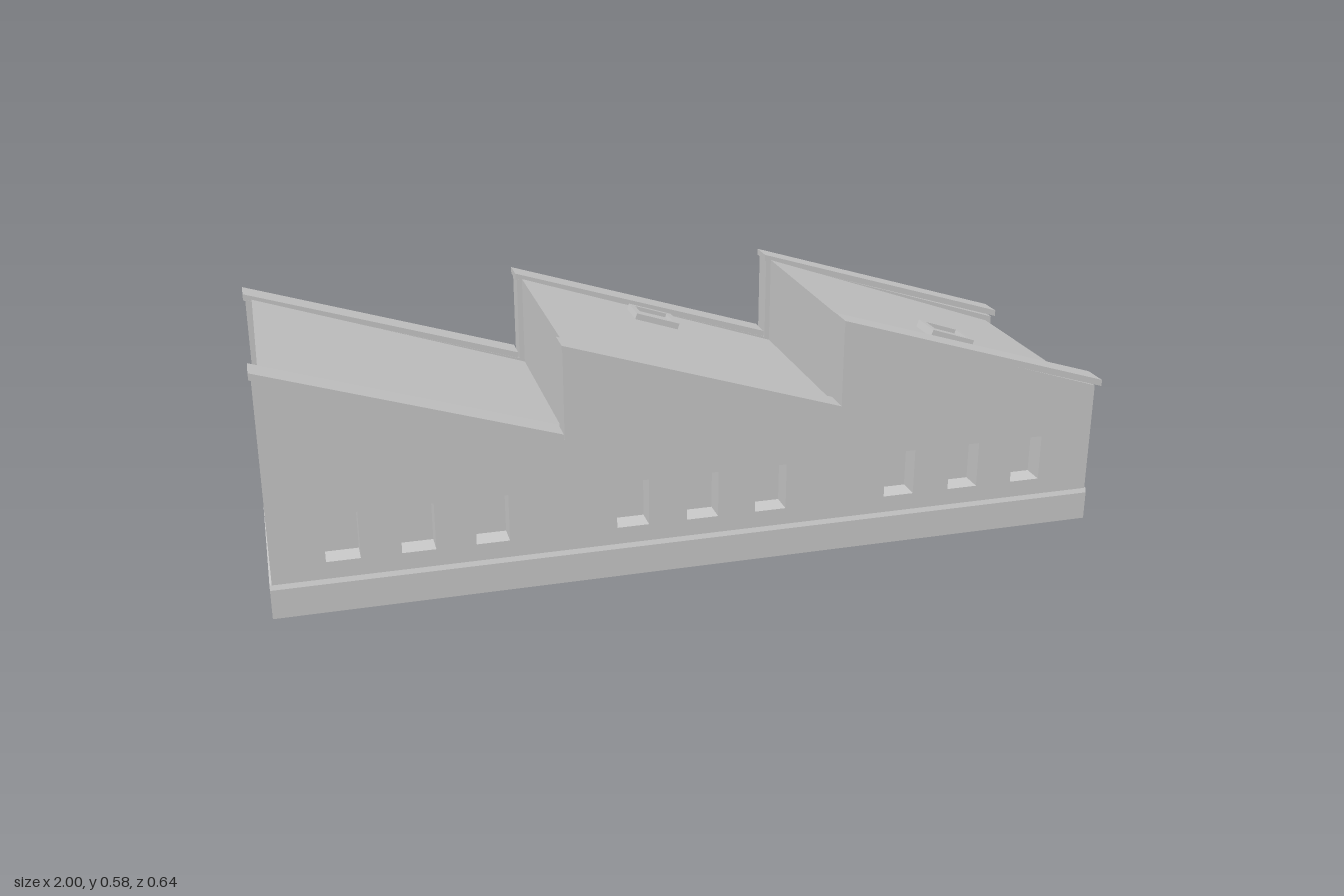
import * as THREE from 'three';

const STARTS = [-1, -0.336, 0.324];
const ENDS = [-0.336, 0.324, 1];
const CENTRES = [-0.67, -0.01, 0.65];
const HIGH = 0.565, LOW = 0.355, BASE = 0.08;
const WALL_IN = 0.257, WALL_OUT = 0.311;
const DOORS = [[-0.785, -0.535], [0.53, 0.77]];

export function createModel() {
  const model = new THREE.Group();
  const material = new THREE.MeshStandardMaterial({ color: 0xcccccc });

  const add = (name, geometry, parent = model) => {
    const mesh = new THREE.Mesh(geometry, material);
    mesh.name = name;
    parent.add(mesh);
    return mesh;
  };
  const polygon = pts => new THREE.Shape(pts.map(p => new THREE.Vector2(...p)));
  const rect = (x0, x1, y0, y1) => [[x0, y0], [x1, y0], [x1, y1], [x0, y1]];
  // Extrude a front outline between two depths
  const slab = (shape, z0, z1) =>
    new THREE.ExtrudeGeometry(shape, { depth: z1 - z0, bevelEnabled: false }).translate(0, 0, z0);
  const box = (x0, x1, y0, y1, z0, z1) =>
    new THREE.BoxGeometry(x1 - x0, y1 - y0, z1 - z0)
      .translate((x0 + x1) / 2, (y0 + y1) / 2, (z0 + z1) / 2);

  // Sawtooth outline, from the left foot over the three teeth to the right foot
  const teeth = (left, right, high, low, shift) => {
    const pts = [[left, BASE]];
    for (let i = 0; i < 3; i++) {
      pts.push([i ? STARTS[i] + shift : left, high], [i < 2 ? ENDS[i] + shift : right, low]);
    }
    pts.push([right, BASE]);
    return pts;
  };

  // Inner block: roof slopes, tooth faces and recessed end walls
  add('roofAndCore', slab(polygon(teeth(-0.98, 0.972, 0.565, 0.345, 0.016)), -WALL_IN, WALL_IN));

  // Front wall with three windows per bay
  const windowHole = x => polygon(rect(x - 0.038, x + 0.038, 0.122, 0.235));
  const front = polygon(teeth(-0.995, 0.987, HIGH, LOW, 0.003));
  for (const c of CENTRES) {
    for (const dx of [-0.167, 0, 0.167]) front.holes.push(windowHole(c + dx));
  }
  add('frontWall', slab(front, WALL_IN, WALL_OUT));

  // Back wall with two doorways and two windows
  const backOutline = teeth(-0.995, 0.987, HIGH, LOW, 0.003);
  for (const [x0, x1] of [...DOORS].reverse()) {
    backOutline.push([x1, BASE], [x1, 0.285], [x0, 0.285], [x0, BASE]);
  }
  const back = polygon(backOutline);
  for (const x of [-0.09, 0.073]) back.holes.push(windowHole(x));
  add('backWall', slab(back, -WALL_OUT, -WALL_IN));

  // Plinth: centre block, chamfered front strip, back strips between the doorways
  const plinth = new THREE.Group();
  plinth.name = 'plinth';
  model.add(plinth);
  const strip = (x0, x1, side) => {
    const section = [[0.257, 0], [0.315, 0], [0.315, 0.07], [WALL_OUT, 0.081], [0.257, 0.081]];
    const shape = polygon(section.map(([z, y]) => [-side * z, y]));
    return new THREE.ExtrudeGeometry(shape, { depth: x1 - x0, bevelEnabled: false })
      .rotateY(Math.PI / 2).translate(x0, 0, 0);
  };
  add('plinthCentre', box(-1, 0.99, 0, 0.081, -WALL_IN, WALL_IN), plinth);
  add('plinthFront', strip(-1, 0.99, 1), plinth);
  const cuts = [-1, ...DOORS.flat(), 0.99];
  for (let i = 0; i < cuts.length; i += 2) add('plinthBack', strip(cuts[i], cuts[i + 1], -1), plinth);
  for (const [x0, x1] of DOORS) add('doorSill', box(x0, x1, 0, 0.004, -0.313, -WALL_IN), plinth);

  // Sloping copings on both walls
  for (let i = 0; i < 3; i++) {
    const shape = polygon([[STARTS[i], HIGH - 0.001], [ENDS[i], LOW], [ENDS[i], LOW + 0.016], [STARTS[i], HIGH + 0.015]]);
    add('frontCoping', slab(shape, 0.255, 0.32));
    add('backCoping', slab(shape, -0.32, -0.258));
  }

  // Raised skylight frames with a sunken pane, lying on the slope
  const slope = Math.atan2(0.22, 0.66);
  for (const [x, z, bay] of [[-0.005, -0.168, 1], [0.655, 0.148, 2]]) {
    const skylight = new THREE.Group();
    skylight.name = 'skylight';
    const frame = polygon(rect(-0.058, 0.058, -0.043, 0.043));
    frame.holes.push(polygon(rect(-0.043, 0.043, -0.032, 0.032)));
    add('skylightFrame', slab(frame, -0.01, 0.016).rotateX(-Math.PI / 2), skylight);
    add('skylightPane', box(-0.045, 0.045, -0.01, 0.006, -0.034, 0.034), skylight);
    const t = (x - STARTS[bay] - 0.016) / 0.655;
    skylight.position.set(x, 0.565 - 0.22 * t, z);
    skylight.rotation.z = -slope;
    model.add(skylight);
  }
  return model;
}
